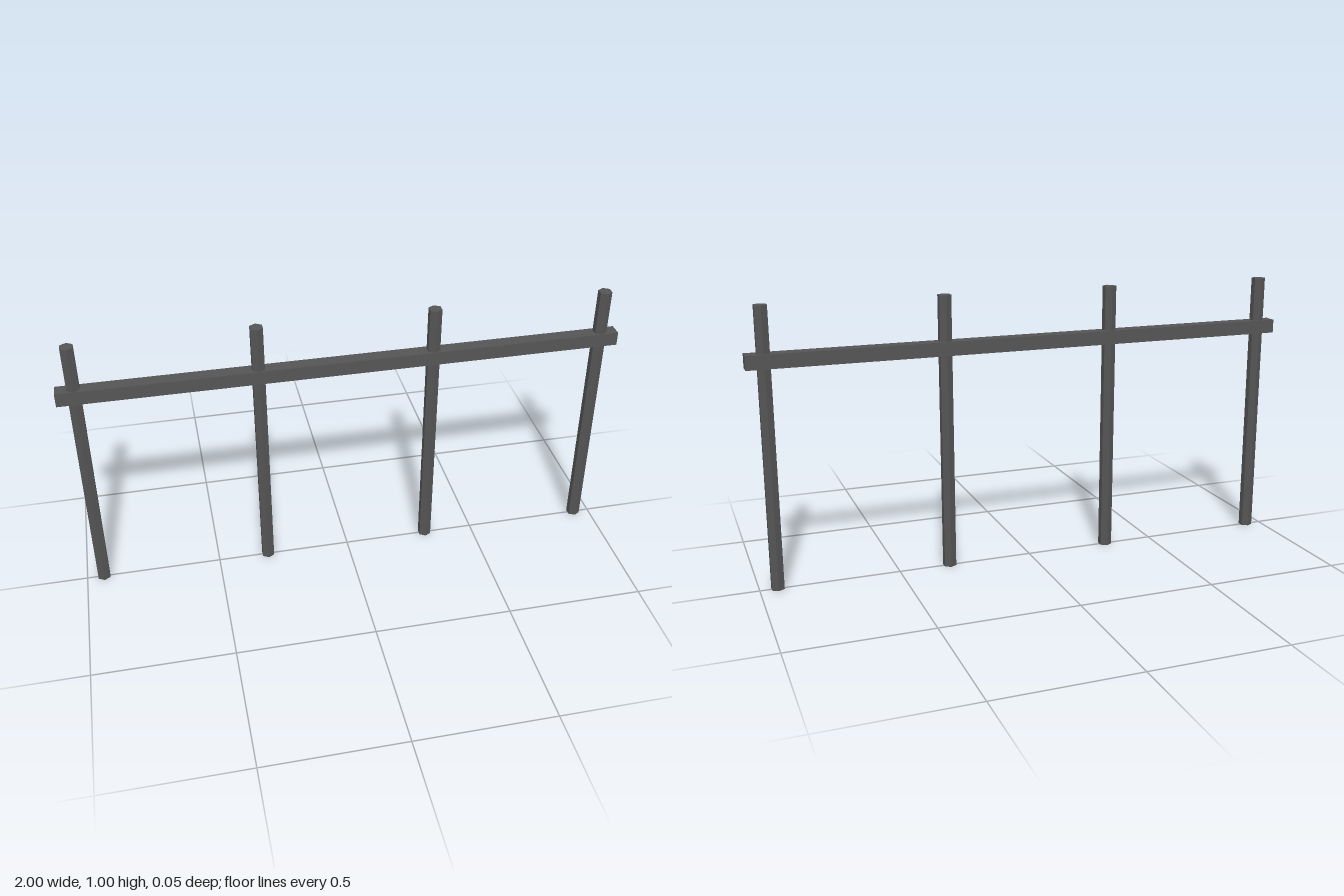
import * as THREE from 'three';

export function createModel() {
  const model = new THREE.Group();
  model.name = 'railFence';

  const darkGrey = new THREE.MeshStandardMaterial({ color: 0x555555, flatShading: true });
  darkGrey.name = 'darkGrey';

  // Four evenly spaced six-sided posts
  const postGeometry = new THREE.CylinderGeometry(0.025, 0.025, 1, 6);
  for (let i = 0; i < 4; i++) {
    const post = new THREE.Mesh(postGeometry, darkGrey);
    post.name = `post${i + 1}`;
    post.position.set(-0.9375 + i * 0.625, 0.5, 0);
    model.add(post);
  }

  // Square horizontal rail running through the posts
  const rail = new THREE.Mesh(new THREE.BoxGeometry(2, 0.05, 0.05), darkGrey);
  rail.name = 'rail';
  rail.position.y = 0.8125;
  model.add(rail);

  return model;
}
